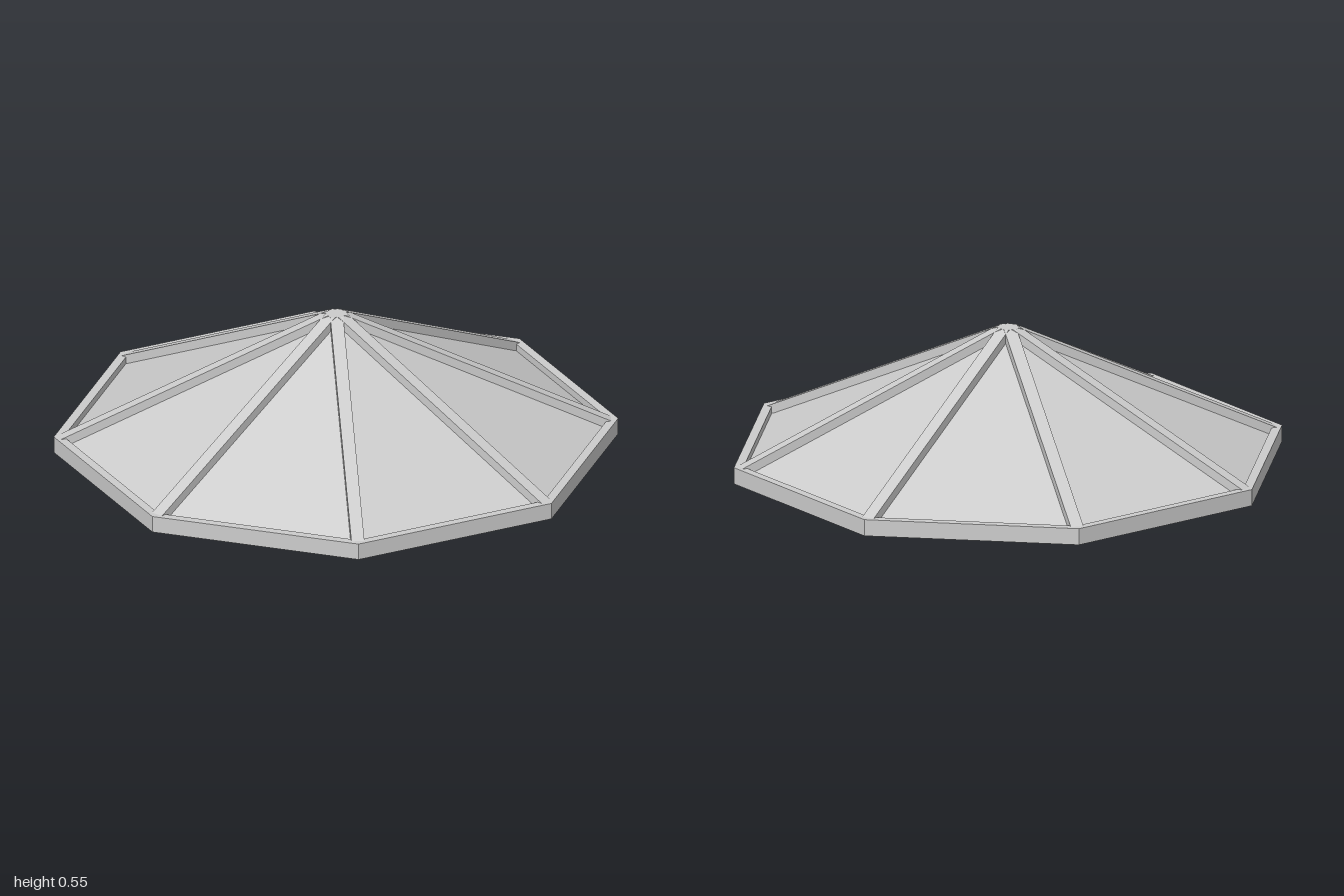
import * as THREE from 'three';

const SIDES = 8;
const HALF = Math.PI / SIDES;

// Octagon outline with flat sides facing the axes
function octagon(apothem, PathType) {
  const r = apothem / Math.cos(HALF);
  const points = [];
  for (let i = 0; i < SIDES; i++) {
    const a = HALF + (i * 2 * Math.PI) / SIDES;
    points.push(new THREE.Vector2(r * Math.cos(a), r * Math.sin(a)));
  }
  return new PathType(points);
}

export function createModel() {
  const model = new THREE.Group();
  model.name = 'octagonalRoof';
  const material = new THREE.MeshStandardMaterial({ color: 0xcccccc, flatShading: true });

  const add = (name, geometry) => {
    const mesh = new THREE.Mesh(geometry, material);
    mesh.name = name;
    model.add(mesh);
    return mesh;
  };

  // Rim around the eaves
  const rimShape = octagon(1, THREE.Shape);
  rimShape.holes.push(octagon(0.965, THREE.Path));
  const rimGeometry = new THREE.ExtrudeGeometry(rimShape, { depth: 0.065, bevelEnabled: false });
  rimGeometry.rotateX(-Math.PI / 2);
  add('rim', rimGeometry);

  // Sloping panels with a flat ceiling, set slightly below the rim and ribs
  const base = 0.035;
  const height = 0.495;
  const panels = new THREE.ConeGeometry(0.969 / Math.cos(HALF), height, SIDES, 1, false, HALF);
  panels.translate(0, base + height / 2, 0);
  add('roofPanels', panels);

  // Ribs along the eight ridges, cut level at the peak
  const ribWidth = 0.05;
  const profile = new THREE.Shape([
    new THREE.Vector2(0, 0.45),
    new THREE.Vector2(0.95, 0.04),
    new THREE.Vector2(1.055, 0.04),
    new THREE.Vector2(1.055, 0.065),
    new THREE.Vector2(0.037, 0.545),
    new THREE.Vector2(0, 0.545),
  ]);
  const ribGeometry = new THREE.ExtrudeGeometry(profile, { depth: ribWidth, bevelEnabled: false });
  ribGeometry.translate(0, 0, -ribWidth / 2);
  for (let i = 0; i < SIDES; i++) {
    add('ridgeRib', ribGeometry).rotation.y = HALF + i * 2 * HALF;
  }

  // Crossed beams beneath the ceiling
  const beamGeometry = new THREE.BoxGeometry(1.935, 0.036, 0.06);
  for (const angle of [0, Math.PI / 2]) {
    const beam = add('crossBeam', beamGeometry);
    beam.position.y = 0.018;
    beam.rotation.y = angle;
  }

  return model;
}
